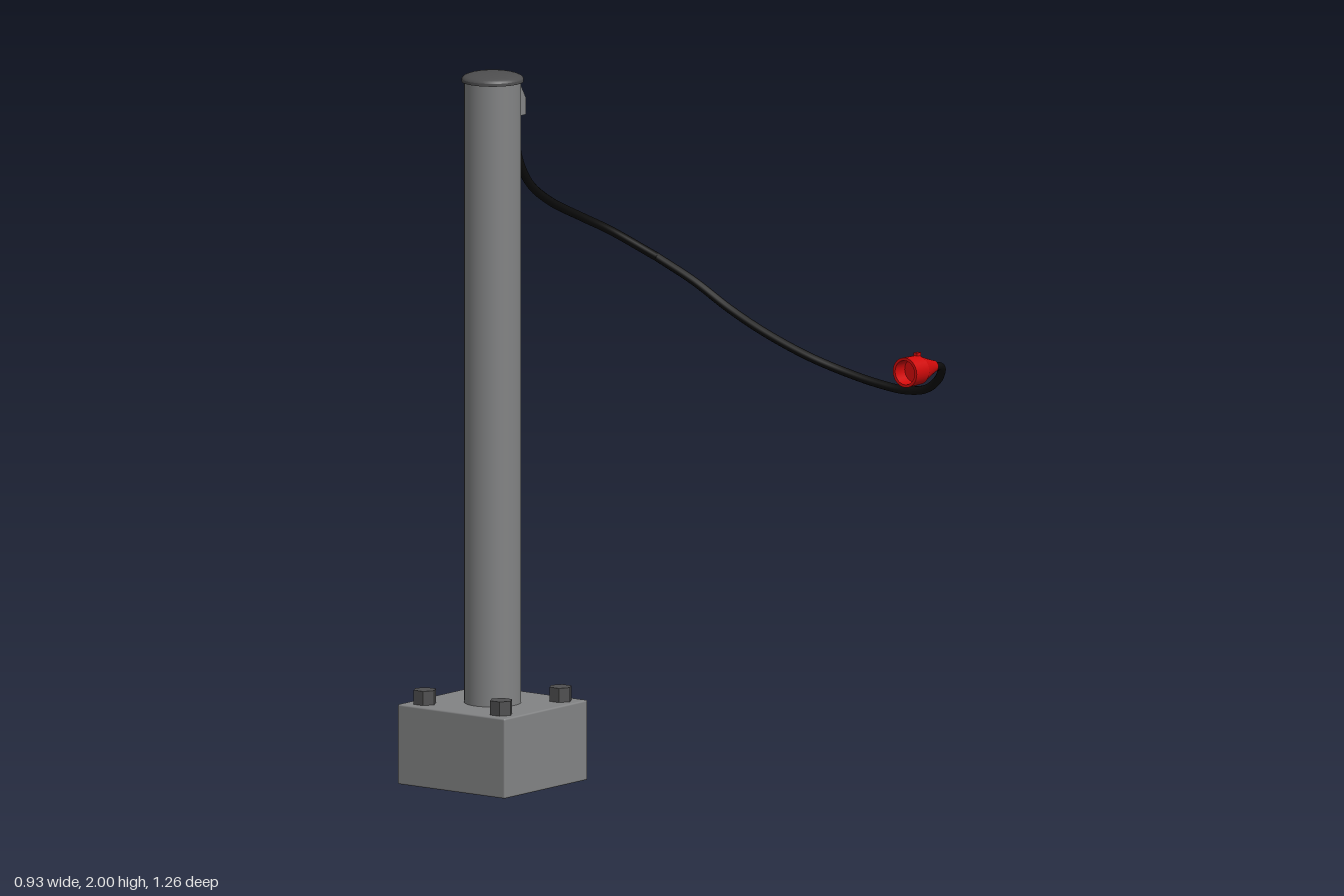
import * as THREE from 'three';
import { RoundedBoxGeometry } from 'three/addons/geometries/RoundedBoxGeometry.js';

const material = (name, color, side = THREE.FrontSide) => {
  const m = new THREE.MeshStandardMaterial({ color, side });
  m.name = name;
  return m;
};

export function createModel() {
  const group = new THREE.Group();
  const grey = material('grey metal', 0x828384);
  const dark = material('dark metal', 0x4e4e4f);
  const black = material('black rubber', 0x0b0b0b);
  const red = material('red plastic', 0xd00a0a, THREE.DoubleSide);
  const PX = -0.28, PZ = -0.443; // post axis

  const add = (name, geometry, mat, x = 0, y = 0, z = 0) => {
    const mesh = new THREE.Mesh(geometry, mat);
    mesh.name = name;
    mesh.position.set(x, y, z);
    group.add(mesh);
    return mesh;
  };
  const lathe = (points, segments) =>
    new THREE.LatheGeometry(points.map(([r, y]) => new THREE.Vector2(r, y)), segments);

  // Base block with four hexagonal bolts
  add('base', new RoundedBoxGeometry(0.376, 0.225, 0.376, 2, 0.005), grey, PX, 0.1125, PZ);
  for (const sx of [-1, 1]) for (const sz of [-1, 1]) {
    const bolt = new THREE.CylinderGeometry(0.033, 0.033, 0.05, 6).toNonIndexed();
    bolt.computeVertexNormals();
    add('bolt', bolt, dark, PX + sx * 0.134, 0.24, PZ + sz * 0.134);
  }

  // Post and shallow domed cap
  add('post', new THREE.CylinderGeometry(0.079, 0.079, 1.76, 40), grey, PX, 1.1, PZ);
  add('capRim', new THREE.CylinderGeometry(0.086, 0.086, 0.008, 40), dark, PX, 1.976, PZ);
  const dome = [];
  for (let i = 0; i <= 8; i++) {
    const a = (i / 8) * Math.PI / 2;
    dome.push([0.086 * Math.cos(a), 0.02 * Math.sin(a)]);
  }
  dome[8][0] = 0;
  add('capDome', lathe(dome, 40), dark, PX, 1.98, PZ);

  // Wedge-topped cable outlet on the side of the post
  const wedge = new THREE.Shape([[-0.215, 1.865], [-0.164, 1.865], [-0.164, 1.912], [-0.193, 1.96], [-0.215, 1.96]]
    .map(([x, y]) => new THREE.Vector2(x, y)));
  add('cableOutlet', new THREE.ExtrudeGeometry(wedge, { depth: 0.054, bevelEnabled: false }),
    grey, 0, 0, PZ - 0.027);

  // Cable: two sweeps meeting at a sharp bend
  const cable = (points, segments) => {
    const curve = new THREE.CatmullRomCurve3(points.map((p) => new THREE.Vector3(...p)));
    add('cable', new THREE.TubeGeometry(curve, segments, 0.012, 10), black);
  };
  const bend = [0.29, 1.412, -0.312];
  cable([[-0.183, 1.88, -0.443], [-0.18, 1.82, -0.443], [-0.165, 1.74, -0.442], [-0.12, 1.663, -0.438],
    [-0.04, 1.603, -0.43], [0.087, 1.54, -0.412], [0.174, 1.495, -0.385], bend], 56);
  cable([bend, [0.315, 1.352, -0.2], [0.337, 1.284, -0.095], [0.356, 1.228, 0.01], [0.386, 1.17, 0.14],
    [0.418, 1.132, 0.246], [0.44, 1.106, 0.352], [0.452, 1.096, 0.437], [0.453, 1.108, 0.51],
    [0.442, 1.148, 0.563], [0.42, 1.182, 0.585], [0.375, 1.19, 0.588]], 90);
  add('cableBend', new THREE.SphereGeometry(0.012, 12, 8), black, ...bend);

  // Hollow connector, lathed along its axis and laid so its mouth faces -x
  const connector = new THREE.Group();
  connector.name = 'connector';
  const sections = [
    ['connectorSleeve', [[0, 0], [0.016, 0]]],
    ['connectorTaper', [[0.016, 0], [0.019, 0.012], [0.036, 0.063], [0.041, 0.074]]],
    ['connectorBarrel', [[0.041, 0.074], [0.042, 0.132]]],
    ['connectorRim', [[0.042, 0.132], [0.034, 0.132]]],
    ['connectorSocket', [[0.034, 0.132], [0.033, 0.09]]],
    ['connectorFloor', [[0.033, 0.09], [0, 0.09]]],
  ];
  for (const [name, points] of sections) {
    const mesh = new THREE.Mesh(lathe(points.reverse(), 28), red);
    mesh.name = name;
    connector.add(mesh);
  }
  connector.rotation.z = Math.PI / 2;
  connector.position.set(0.385, 1.19, 0.588);
  group.add(connector);
  add('connectorKey', new THREE.BoxGeometry(0.018, 0.014, 0.012), red, 0.31, 1.232, 0.588);

  return group;
}
